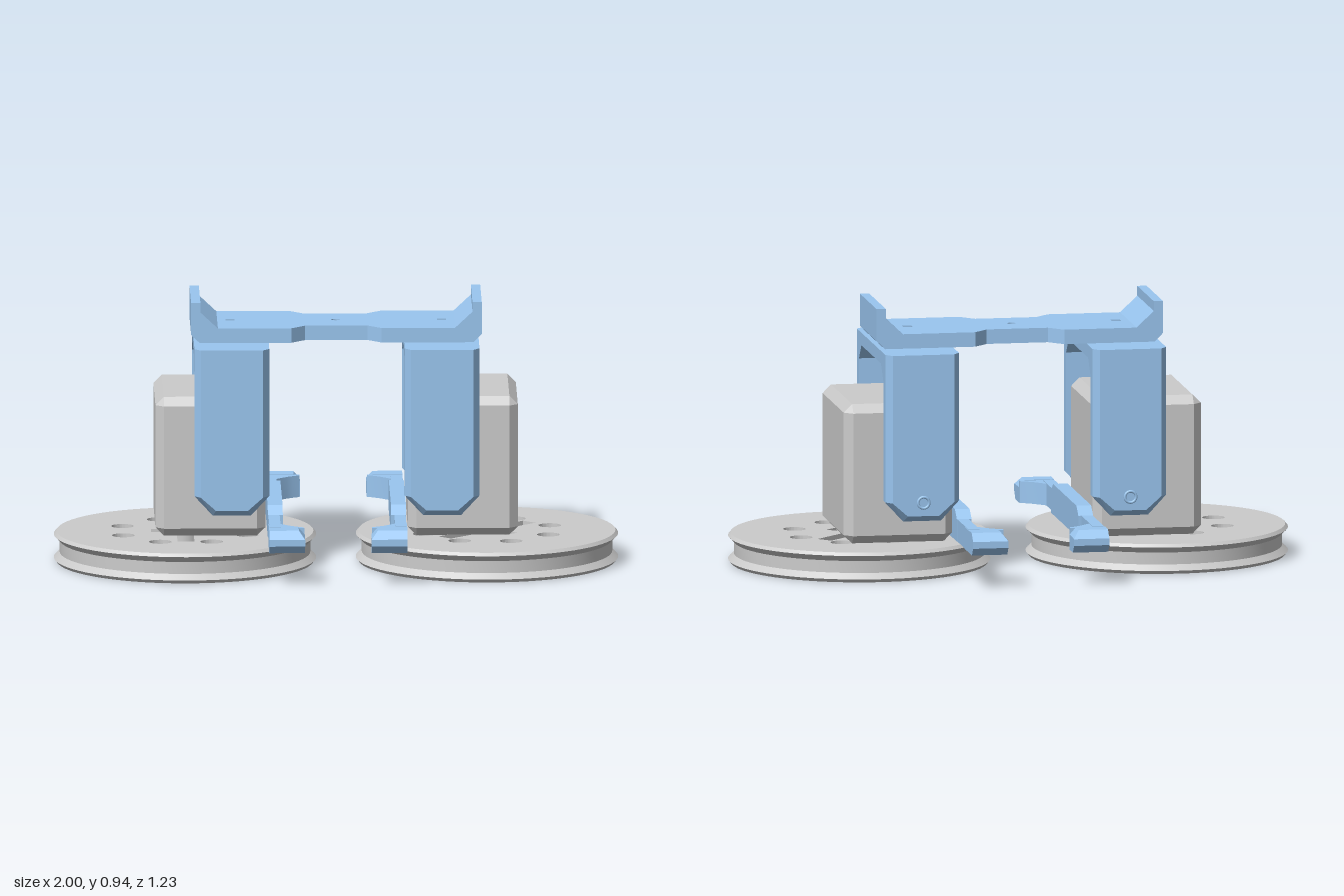
import * as THREE from 'three';
import { ConvexGeometry } from 'three/addons/geometries/ConvexGeometry.js';
import { toCreasedNormals } from 'three/addons/utils/BufferGeometryUtils.js';

const grey = new THREE.MeshStandardMaterial({ color: 0xcccccc });
const blue = new THREE.MeshStandardMaterial({ color: 0x9ac6f0 });

function add(parent, name, geometry, material) {
  const mesh = new THREE.Mesh(geometry, material);
  mesh.name = name;
  parent.add(mesh);
  return mesh;
}

const shapeOf = (pts) => new THREE.Shape(pts.map(([a, b]) => new THREE.Vector2(a, b)));
const hull = (pts) => new ConvexGeometry(pts.map((p) => new THREE.Vector3(...p)));

function circle(x, y, r) {
  return new THREE.Path().absarc(x, y, r, 0, Math.PI * 2, true);
}

// Horizontal slab from an outline drawn in x and -z
function slab(shape, y0, y1, curveSegments = 24) {
  const g = new THREE.ExtrudeGeometry(shape, { depth: y1 - y0, bevelEnabled: false, curveSegments });
  return toCreasedNormals(g.rotateX(-Math.PI / 2).translate(0, y0, 0), 0.5);
}

// Profile drawn in z and y, swept from x0 to x1
function sweepX(pts, x0, x1) {
  const shape = shapeOf(pts.map(([z, y]) => [-z, y]));
  const g = new THREE.ExtrudeGeometry(shape, { depth: Math.abs(x1 - x0), bevelEnabled: false });
  return g.rotateY(Math.PI / 2).translate(Math.min(x0, x1), 0, 0);
}

// Box with every edge cut at 45 degrees
function chamferBox(w, h, d, c) {
  const pts = [];
  for (const i of [-1, 1]) for (const j of [-1, 1]) for (const k of [-1, 1]) {
    const [x, y, z] = [w / 2, h / 2, d / 2];
    pts.push([i * x, j * (y - c), k * (z - c)], [i * (x - c), j * y, k * (z - c)], [i * (x - c), j * (y - c), k * z]);
  }
  return hull(pts);
}

// Grooved wheel with a ring of holes and a cross-shaped recess on top
function makeWheel(holeAngle, slotAngle) {
  const wheel = new THREE.Group();
  wheel.name = 'wheel';
  const disc = () => {
    const s = new THREE.Shape().absarc(0, 0, 0.43, 0, Math.PI * 2);
    for (let i = 0; i < 8; i++) {
      const a = holeAngle + i * Math.PI / 4;
      s.holes.push(circle(0.238 * Math.cos(a), 0.238 * Math.sin(a), 0.04));
    }
    return s;
  };
  const lower = disc();
  lower.holes.push(circle(0, 0, 0.08));
  add(wheel, 'wheelLowerDisc', slab(lower, 0, 0.075, 32), grey);

  const upper = disc();
  const [w, l, m] = [0.03, 0.215, 0.12];
  const cross = [[l, -w], [l, w], [w, w], [w, m], [-w, m], [-w, w], [-l, w], [-l, -w], [-w, -w], [-w, -m], [w, -m], [w, -w]];
  upper.holes.push(new THREE.Path(cross.map(([x, y]) =>
    new THREE.Vector2(x, y).rotateAround(new THREE.Vector2(), slotAngle)).reverse()));
  add(wheel, 'wheelUpperDisc', slab(upper, 0.075, 0.107, 32), grey);

  const rim = [[0.42, 0], [0.455, 0], [0.465, 0.012], [0.444, 0.032], [0.444, 0.075], [0.465, 0.096], [0.455, 0.107], [0.42, 0.107]];
  const lathe = new THREE.LatheGeometry(rim.map(([x, y]) => new THREE.Vector2(x, y)), 72);
  add(wheel, 'wheelRim', toCreasedNormals(lathe, 0.4), grey);
  return wheel;
}

// Inverted U bracket that straddles a motor
function makeBracket(s) {
  const bracket = new THREE.Group();
  bracket.name = 'bracket';
  const bar = [[-0.25, 0.8], [-0.25, 0.7], [-0.2, 0.755], [0.2, 0.755], [0.25, 0.7], [0.25, 0.8]];
  add(bracket, 'bracketBar', sweepX(bar, s * 0.24, s * 0.505), blue);
  for (const f of [-1, 1]) {
    const outline = (inset, z) => [
      [0.24 + inset, 0.8], [0.24 + inset, 0.27], [0.305 + inset / 2, 0.2 + inset],
      [0.44 - inset / 2, 0.2 + inset], [0.505 - inset, 0.27], [0.505 - inset, 0.8],
    ].map(([x, y]) => [s * x, y, f * z]);
    const pts = [...outline(0, 0.25), ...outline(0, 0.29), ...outline(0.022, 0.32)];
    add(bracket, f > 0 ? 'frontLeg' : 'backLeg', hull(pts), blue);
  }
  const ring = add(bracket, 'screwHoleRim', new THREE.TorusGeometry(0.02, 0.005, 8, 24), blue);
  ring.position.set(s * 0.372, 0.27, -0.32);
  bracket.position.z = -0.005;
  return bracket;
}

// Low arm running front to back with a hooked pad at each end
function makeArm(s) {
  const arm = new THREE.Group();
  arm.name = 'arm';
  const strip = add(arm, 'armStrip', new THREE.BoxGeometry(0.04, 0.08, 1.02), blue);
  strip.position.set(s * 0.223, 0.16, 0);
  const raised = [[-0.28, 0.12], [0.28, 0.12], [0.28, 0.2], [0.24, 0.23], [-0.24, 0.23], [-0.28, 0.2]];
  add(arm, 'armRaisedMiddle', sweepX(raised, s * 0.192, s * 0.245), blue);
  for (const f of [-1, 1]) {
    const pad = [[0.52, 0.12], [0.59, 0.12], [0.615, 0.148], [0.615, 0.172], [0.585, 0.2], [0.52, 0.2]];
    const section = (x, top) => pad.map(([z, y]) => [s * x, Math.min(y, top), f * z]);
    add(arm, 'armPad', hull([...section(0.118, 0.175), ...section(0.14, 0.2), ...section(0.245, 0.2)]), blue);
    const neck = [[0.245, 0.44], [0.203, 0.44], [0.165, 0.48], [0.145, 0.495], [0.12, 0.51], [0.12, 0.525], [0.245, 0.525]];
    add(arm, 'armNeck', slab(shapeOf(neck.map(([x, z]) => [s * x, -f * z])), 0.12, 0.198), blue);
  }
  return arm;
}

// Waisted plate joining both brackets, with an upturned lip at each end
function makeTopPlate() {
  const plate = new THREE.Group();
  plate.name = 'topPlate';
  const quarter = [[0.42, 0.17], [0.16, 0.17], [0.11, 0.118]];
  const half = [...quarter, ...quarter.map(([x, z]) => [-x, z]).reverse()];
  const outline = shapeOf([...half, ...half.map(([x, z]) => [-x, -z])]);
  outline.holes.push(circle(0, 0, 0.015));
  for (const x of [-0.375, 0.375]) {
    const q = 0.016;
    outline.holes.push(new THREE.Path([[x - q, -q], [x - q, q], [x + q, q], [x + q, -q]].map((p) => new THREE.Vector2(...p))));
  }
  add(plate, 'plateDeck', slab(outline, 0.8, 0.852), blue);
  for (const s of [-1, 1]) {
    const lip = [[0.42, 0.8], [0.485, 0.8], [0.515, 0.83], [0.515, 0.945], [0.482, 0.945], [0.482, 0.91], [0.42, 0.852]];
    const g = new THREE.ExtrudeGeometry(shapeOf(lip.map(([x, y]) => [s * x, y])), { depth: 0.34, bevelEnabled: false });
    add(plate, 'plateLip', g.translate(0, 0, -0.17), blue);
  }
  plate.position.z = -0.004;
  return plate;
}

export function createModel() {
  const model = new THREE.Group();
  model.name = 'twoWheelDrive';
  for (const s of [-1, 1]) {
    const side = new THREE.Group();
    side.name = s > 0 ? 'leftSide' : 'rightSide';
    const wheel = s > 0 ? makeWheel(0.35, Math.PI / 4) : makeWheel(Math.PI / 8, Math.PI / 2);
    wheel.position.set(s * 0.535, 0, 0.068);
    const motor = add(side, 'motor', chamferBox(0.39, 0.5, 0.495, 0.03), grey);
    motor.position.set(s * 0.447, 0.365, -0.007);
    // Short shaft between motor and wheel
    const shaft = add(side, 'shaft', new THREE.CylinderGeometry(0.05, 0.05, 0.06, 24), grey);
    shaft.position.set(s * 0.535, 0.1, 0.068);
    side.add(wheel, makeBracket(s), makeArm(s));
    model.add(side);
  }
  model.add(makeTopPlate());
  return model;
}
